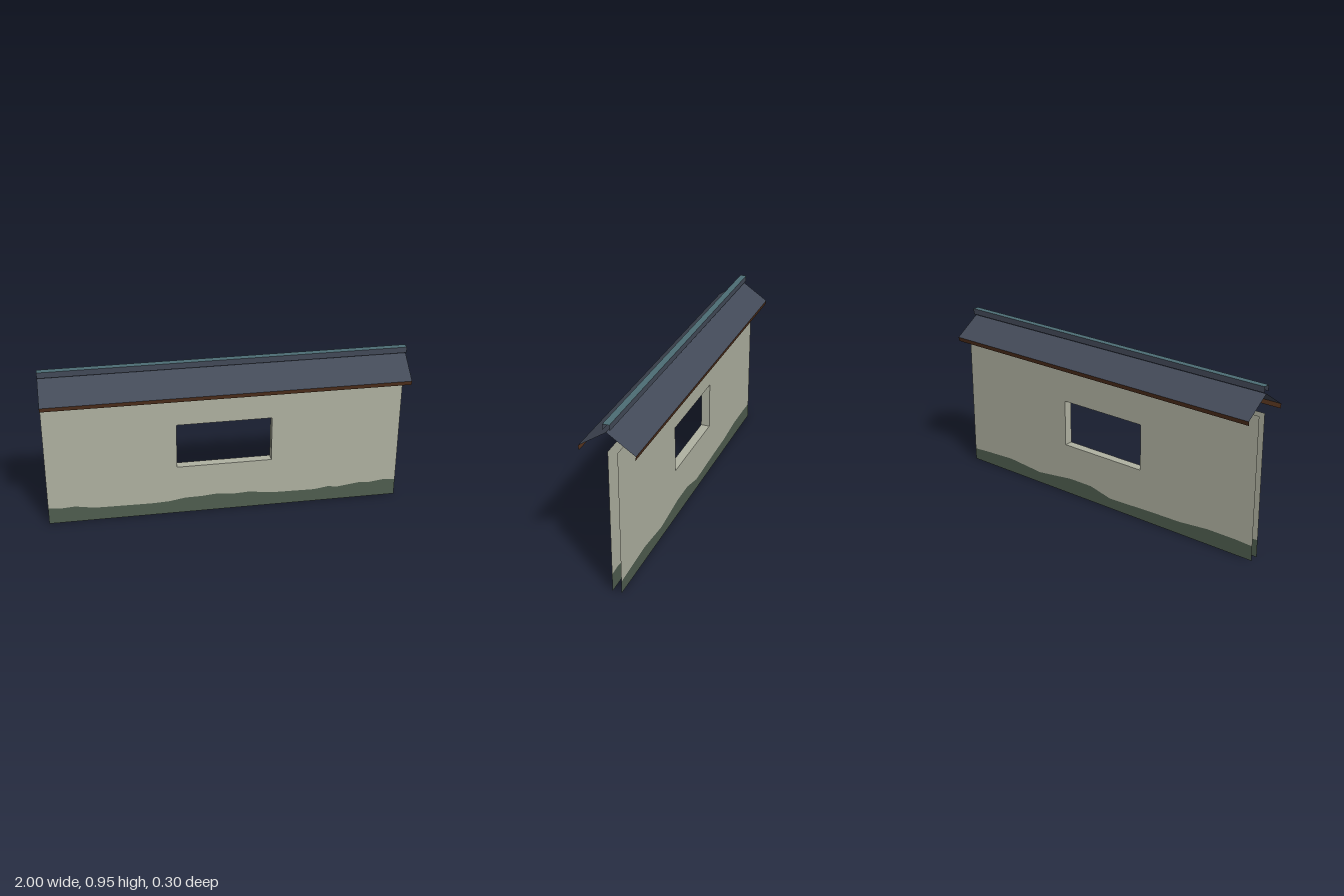
import * as THREE from 'three';

const WALL_TOP = 0.81;
const WALL_FRONT = -0.005;
const WALL_BACK = -0.055;
const WIN = { x0: -0.27, x1: 0.265, y0: 0.3, y1: 0.567 };

function material(name, color) {
  const m = new THREE.MeshStandardMaterial({ color, side: THREE.DoubleSide });
  m.name = name;
  return m;
}

// Uneven upper edge of the mossy base, as [x, height] from left to right
const FRONT_MOSS = [
  [-1, 0.1], [-0.93, 0.094], [-0.85, 0.099], [-0.74, 0.08], [-0.42, 0.076], [-0.32, 0.08],
  [-0.23, 0.095], [-0.13, 0.097], [-0.05, 0.104], [0.06, 0.095], [0.14, 0.099], [0.27, 0.081],
  [0.52, 0.077], [0.6, 0.089], [0.66, 0.082], [0.78, 0.098], [0.84, 0.093], [0.93, 0.105], [1, 0.1],
];
const BACK_MOSS = [
  [-1, 0.085], [-0.9, 0.09], [-0.72, 0.09], [-0.54, 0.073], [-0.36, 0.07], [-0.06, 0.06],
  [0.08, 0.094], [0.23, 0.094], [0.47, 0.065], [0.7, 0.085], [0.9, 0.075], [1, 0.068],
];

// Rectangle spanning the whole length between two points of the (z, y) section
function strip(name, a, b, mat) {
  const g = new THREE.PlaneGeometry(2, Math.hypot(b[0] - a[0], b[1] - a[1]));
  const p = g.attributes.position;
  for (let i = 0; i < p.count; i++) {
    const [z, y] = p.getY(i) < 0 ? a : b;
    p.setXYZ(i, p.getX(i), y, z);
  }
  g.computeVertexNormals();
  const mesh = new THREE.Mesh(g, mat);
  mesh.name = name;
  return mesh;
}

// Flat shape in the x-y plane, facing the front or turned to face the back
function sheet(name, shape, z, facesBack, mat) {
  const g = new THREE.ShapeGeometry(shape);
  if (facesBack) g.rotateY(Math.PI);
  const mesh = new THREE.Mesh(g, mat);
  mesh.position.z = z;
  mesh.name = name;
  return mesh;
}

function wallSide(side, z, moss, facesBack, mats) {
  const group = new THREE.Group();
  group.name = side + 'Wall';
  const s = facesBack ? -1 : 1;
  const edge = moss.map(([x, y]) => new THREE.Vector2(s * x, y));
  if (facesBack) edge.reverse();

  const plaster = new THREE.Shape([
    ...edge, new THREE.Vector2(1, WALL_TOP), new THREE.Vector2(-1, WALL_TOP),
  ]);
  plaster.holes.push(new THREE.Path([
    [WIN.x0, WIN.y0], [WIN.x0, WIN.y1], [WIN.x1, WIN.y1], [WIN.x1, WIN.y0],
  ].map(([x, y]) => new THREE.Vector2(s * x, y))));
  const base = new THREE.Shape([
    new THREE.Vector2(-1, 0), new THREE.Vector2(1, 0), ...edge.slice().reverse(),
  ]);
  group.add(
    sheet(side + 'Plaster', plaster, z, facesBack, mats.plaster),
    sheet(side + 'MossyBase', base, z, facesBack, mats.moss),
  );
  return group;
}

// Four faces lining the window opening, all facing inward
function windowReveal(mat) {
  const group = new THREE.Group();
  group.name = 'windowReveal';
  const depth = WALL_FRONT - WALL_BACK;
  const w = WIN.x1 - WIN.x0, h = WIN.y1 - WIN.y0;
  const cx = (WIN.x0 + WIN.x1) / 2, cy = (WIN.y0 + WIN.y1) / 2;
  const cz = (WALL_FRONT + WALL_BACK) / 2;
  for (const s of [-1, 1]) {
    const jamb = new THREE.Mesh(new THREE.PlaneGeometry(depth, h), mat);
    jamb.rotation.y = -s * Math.PI / 2;
    jamb.position.set(cx + s * w / 2, cy, cz);
    jamb.name = s < 0 ? 'rightJamb' : 'leftJamb';
    const ledge = new THREE.Mesh(new THREE.PlaneGeometry(w, depth), mat);
    ledge.rotation.x = s * Math.PI / 2;
    ledge.position.set(cx, cy + s * h / 2, cz);
    ledge.name = s < 0 ? 'sill' : 'lintel';
    group.add(jamb, ledge);
  }
  return group;
}

export function createModel() {
  const mats = {
    plaster: material('plaster', 0xb0b2a2),
    moss: material('moss', 0x505e50),
    tile: material('roofTile', 0x434a58),
    ridge: material('ridgeTop', 0x4d6d75),
    wood: material('eaveWood', 0x52311d),
  };
  const model = new THREE.Group();
  model.name = 'roofedWall';

  model.add(
    wallSide('front', WALL_FRONT, FRONT_MOSS, false, mats),
    wallSide('back', WALL_BACK, BACK_MOSS, true, mats),
    windowReveal(mats.plaster),
  );

  // Roof: slope, eave board and ridge side, mirrored front to back
  const roof = new THREE.Group();
  roof.name = 'roof';
  for (const [side, s] of [['front', 1], ['back', -1]]) {
    const parts = [
      ['Slope', [0.15, 0.812], [0, 0.912], mats.tile],
      ['EaveBoard', [0.145, 0.788], [0.15, 0.812], mats.wood],
      ['RidgeSide', [0.018, 0.921], [0.018, 0.954], mats.tile],
    ];
    for (const [part, a, b, mat] of parts) {
      const lo = [s * a[0], a[1]], hi = [s * b[0], b[1]];
      roof.add(s > 0 ? strip(side + part, lo, hi, mat) : strip(side + part, hi, lo, mat));
    }
  }
  roof.add(strip('ridgeTop', [0.018, 0.954], [-0.018, 0.954], mats.ridge));
  model.add(roof);
  return model;
}
